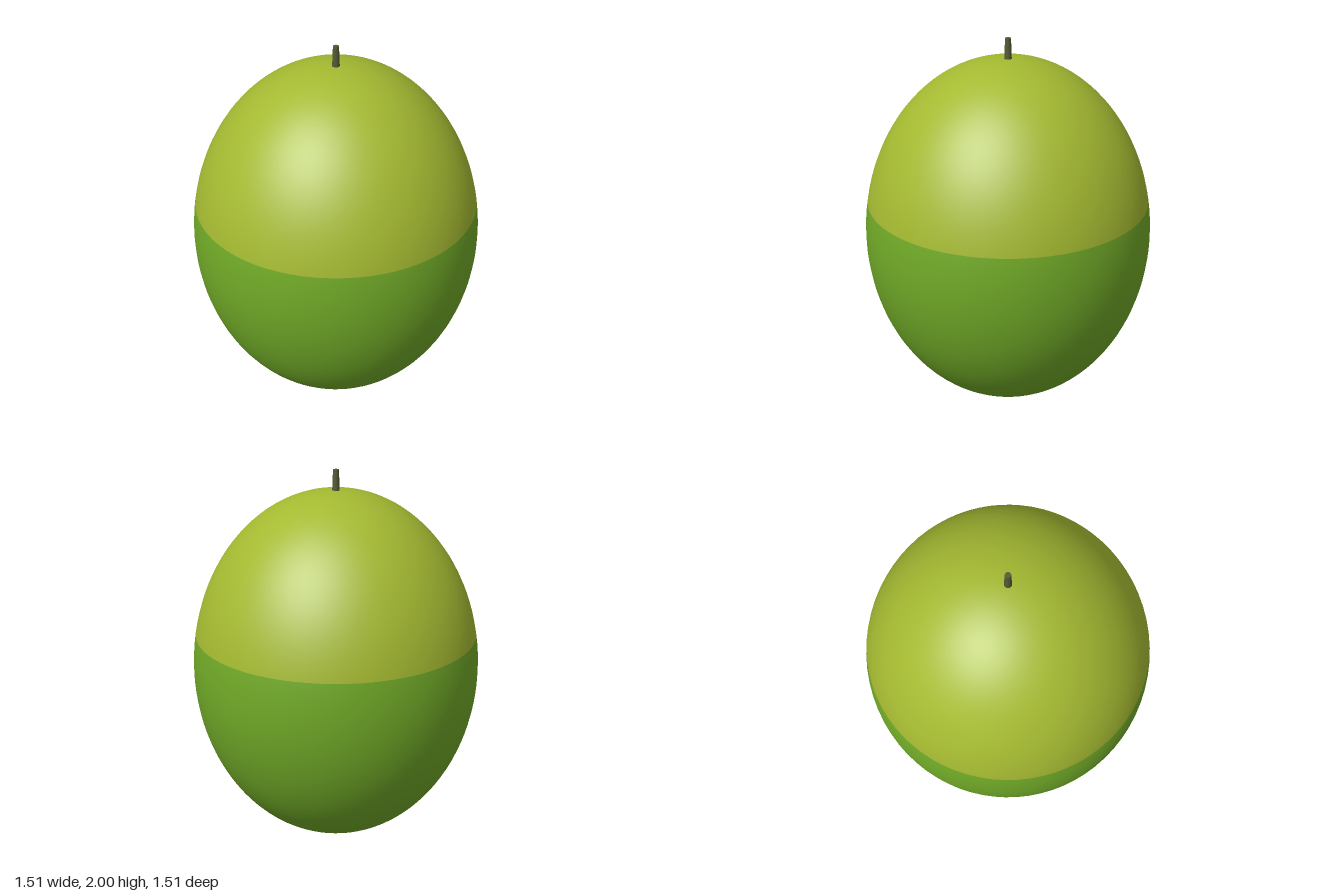
import * as THREE from 'three';

const paint = (name, color) => {
  const m = new THREE.MeshStandardMaterial({ color });
  m.name = name;
  return m;
};

export function createModel() {
  const group = new THREE.Group();
  const yellowGreen = paint('yellowGreenSkin', 0xa4b931);
  const green = paint('greenSkin', 0x70a927);
  const brown = paint('stemBrown', 0x555933);

  const add = (name, geometry, material, y) => {
    const mesh = new THREE.Mesh(geometry, material);
    mesh.name = name;
    mesh.position.y = y;
    group.add(mesh);
  };

  // Egg-shaped fruit, divided by colour just above its middle
  const radius = 0.755, halfHeight = 0.945, centre = 0.95, split = 1.145;
  const angle = Math.acos((split - centre) / halfHeight);
  const skin = (start, length, rows) =>
    new THREE.SphereGeometry(1, 72, rows, 0, Math.PI * 2, start, length).scale(radius, halfHeight, radius);
  add('upperFruit', skin(0, angle, 24), yellowGreen, centre);
  add('lowerFruit', skin(angle, Math.PI - angle, 32), green, centre);

  // Short tapered stem
  add('stem', new THREE.CylinderGeometry(0.015, 0.02, 0.13, 20), brown, 1.935);

  // Tiny blossom scar underneath
  add('blossomScar', new THREE.CylinderGeometry(0.015, 0.015, 0.02, 16), green, 0.01);

  return group;
}
